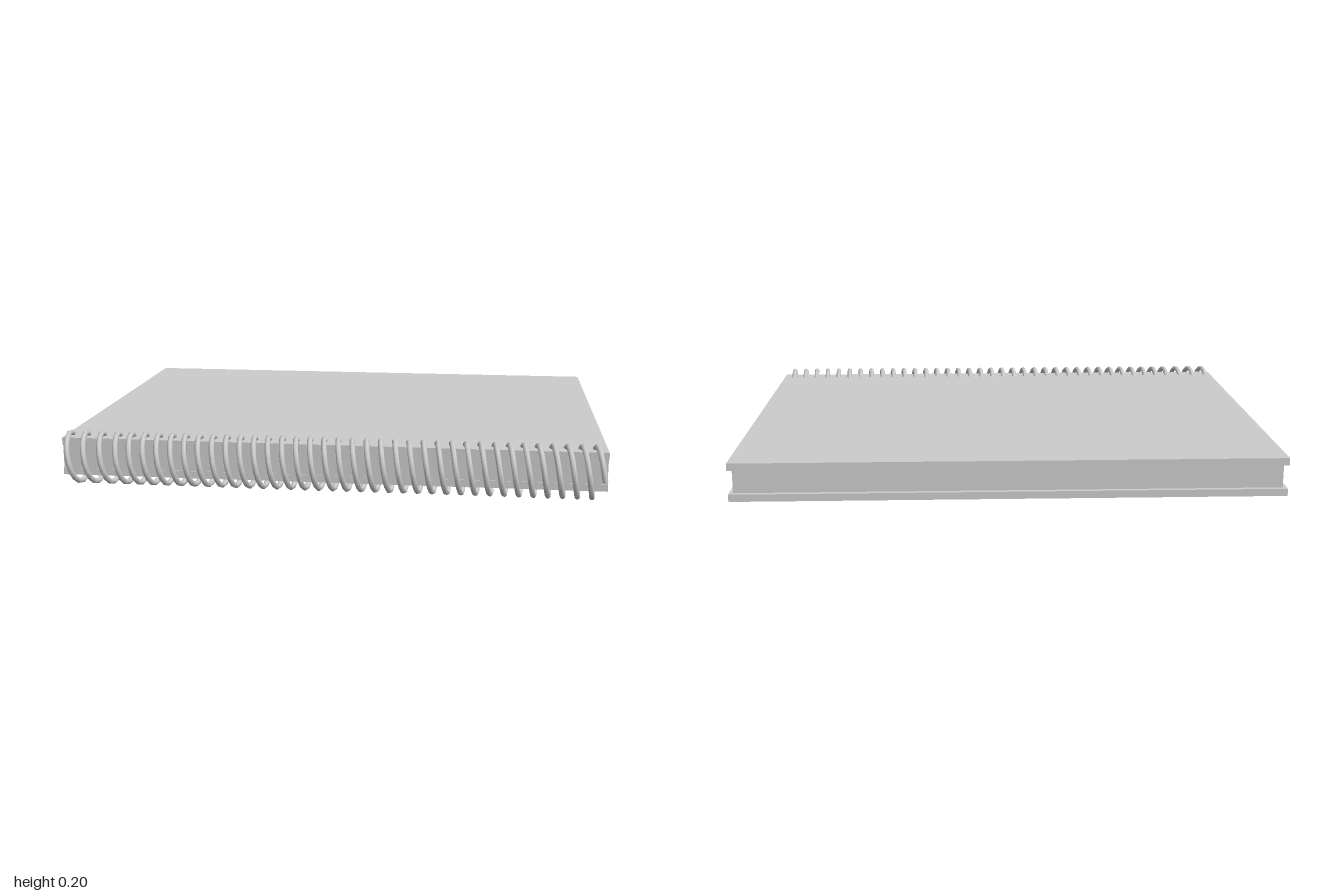
import * as THREE from 'three';

const grey = new THREE.MeshStandardMaterial({ color: 0xcccccc });

// Box given by its min and max corners
function slab(name, [x0, y0, z0], [x1, y1, z1]) {
  const mesh = new THREE.Mesh(new THREE.BoxGeometry(x1 - x0, y1 - y0, z1 - z0), grey);
  mesh.name = name;
  mesh.position.set((x0 + x1) / 2, (y0 + y1) / 2, (z0 + z1) / 2);
  return mesh;
}

// Wire spiral along x; the first three turns are spaced a little wider
class Spiral extends THREE.Curve {
  constructor(start, end) {
    super();
    this.start = start;
    this.end = end;
    this.arcLengthDivisions = 3000;
  }
  getPoint(t, target = new THREE.Vector3()) {
    const turn = this.start + (this.end - this.start) * t;
    const a = turn * Math.PI * 2;
    const along = turn < 3 ? -0.965 + 0.061 * turn : -0.782 + 0.0514 * (turn - 3);
    const lean = -0.006 * Math.cos(a);
    return target.set(along + lean, 0.1 + 0.09 * Math.cos(a), 0.662 + 0.088 * Math.sin(a));
  }
}

export function createModel() {
  const notebook = new THREE.Group();
  notebook.name = 'spiralNotebook';

  // Covers overhang the page block on three sides
  notebook.add(slab('bottomCover', [-1, 0.03, -0.757], [1, 0.057, 0.666]));
  notebook.add(slab('topCover', [-1, 0.145, -0.757], [1, 0.172, 0.666]));
  notebook.add(slab('pages', [-0.985, 0.057, -0.74], [0.985, 0.145, 0.65]));
  notebook.add(slab('spine', [-0.998, 0.057, 0.65], [0.998, 0.145, 0.664]));

  // Binding wire with closed ends
  const path = new Spiral(-0.12, 37.27);
  const wireRadius = 0.01;
  const binding = new THREE.Group();
  binding.name = 'binding';
  const wire = new THREE.Mesh(new THREE.TubeGeometry(path, 600, wireRadius, 8), grey);
  wire.name = 'spiralWire';
  binding.add(wire);
  for (const end of [0, 1]) {
    const cap = new THREE.Mesh(new THREE.CircleGeometry(wireRadius, 8), grey);
    cap.name = end ? 'leftWireEnd' : 'rightWireEnd';
    const outward = path.getTangentAt(end).multiplyScalar(end ? 1 : -1);
    cap.position.copy(path.getPointAt(end));
    cap.quaternion.setFromUnitVectors(new THREE.Vector3(0, 0, 1), outward);
    binding.add(cap);
  }
  notebook.add(binding);
  return notebook;
}
